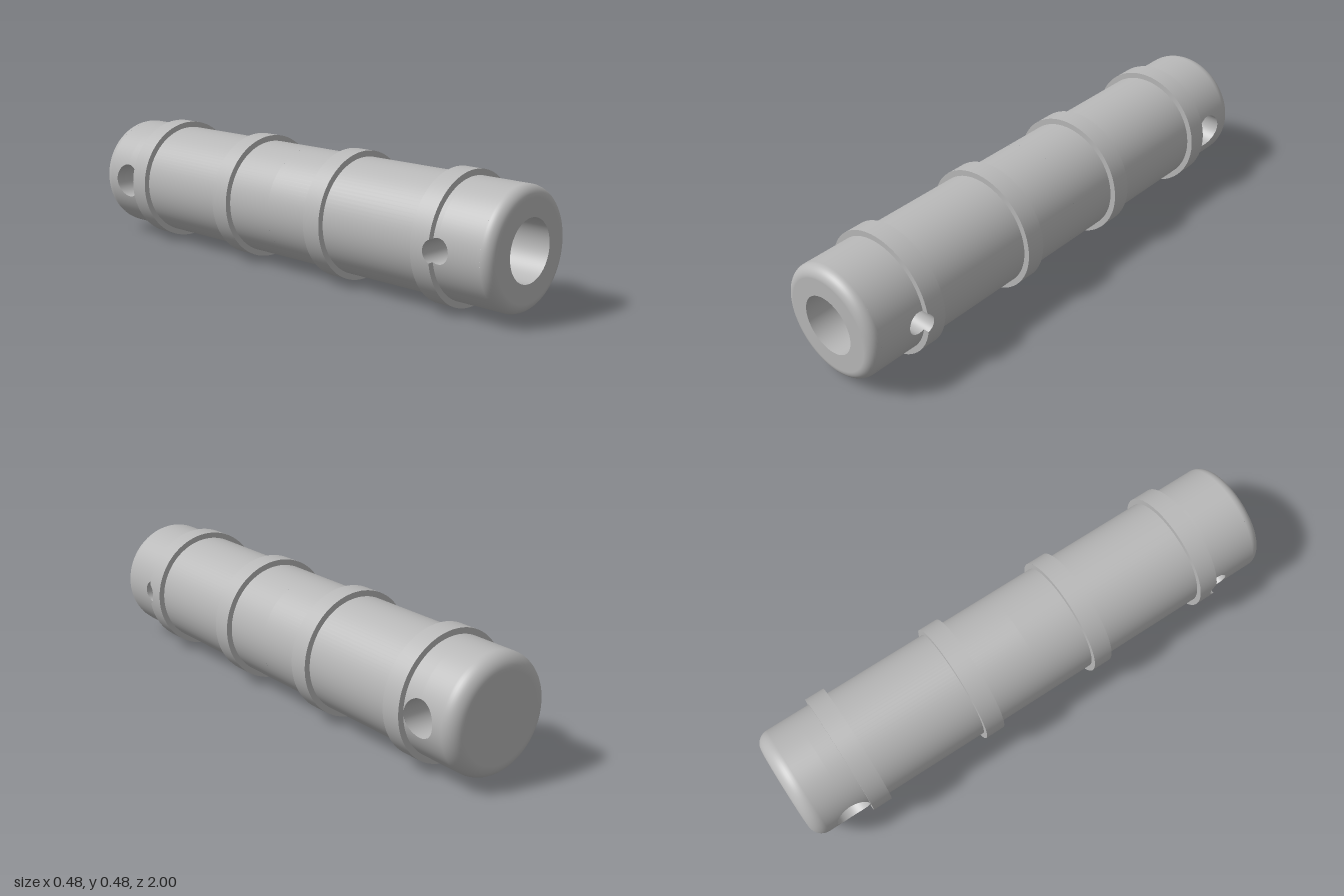
import * as THREE from 'three';

const R = 0.216, RING = 0.238, BORE = 0.111, BORE_END = 0.6;
const RING_HALF = 0.038, RING_Z = [0.733, 0.242, -0.242, -0.733];
const FRONT = { z: 0.79, r: 0.044 };
const BACK = { z: -0.839, r: 0.067 };
const FRONT_FILLET = 0.04, BACK_FILLET = 0.055;

// Grid surface: fn(i, j) gives { p, n }; triangles are wound to agree with n
function grid(nu, nv, fn) {
  const pos = [], nor = [], index = [], P = [], N = [];
  for (let i = 0; i <= nu; i++) for (let j = 0; j <= nv; j++) {
    const { p, n } = fn(i, j);
    P.push(new THREE.Vector3(...p));
    N.push(new THREE.Vector3(...n).normalize());
    pos.push(...p);
    nor.push(...N[N.length - 1].toArray());
  }
  const e1 = new THREE.Vector3(), e2 = new THREE.Vector3();
  const tri = (a, b, c) => {
    const d = e1.subVectors(P[b], P[a]).cross(e2.subVectors(P[c], P[a])).dot(N[a]);
    if (Math.abs(d) < 1e-12) return;
    if (d > 0) index.push(a, b, c); else index.push(a, c, b);
  };
  for (let i = 0; i < nu; i++) for (let j = 0; j < nv; j++) {
    const a = i * (nv + 1) + j, b = a + nv + 1;
    tri(a, b, b + 1);
    tri(a, b + 1, a + 1);
  }
  const g = new THREE.BufferGeometry();
  g.setAttribute('position', new THREE.Float32BufferAttribute(pos, 3));
  g.setAttribute('normal', new THREE.Float32BufferAttribute(nor, 3));
  g.setIndex(index);
  return g;
}

// Angles round a tube, dense where a cross hole cuts it on both sides
function angles(radius, hole) {
  const list = [], a = Math.asin(hole.r / radius);
  for (const side of [0, Math.PI]) {
    for (let k = -16; k <= 16; k++)
      list.push(side + Math.asin(hole.r * Math.sin(k * Math.PI / 32) / radius));
    for (let k = 1; k < 40; k++) list.push(side + a + (Math.PI - 2 * a) * k / 40);
  }
  list.push(list[0] + Math.PI * 2);
  return list;
}

// Half length of a cross hole, along z, at height y
const halfHole = (hole, y) => Math.sqrt(Math.max(0, hole.r ** 2 - y ** 2));

// Tube wall between two z functions of height y
function wall(radius, hole, zA, zB, dir = 1) {
  const th = angles(radius, hole);
  return grid(th.length - 1, 1, (i, j) => {
    const c = Math.cos(th[i]), s = Math.sin(th[i]), y = radius * s;
    return { p: [radius * c, y, (j ? zB : zA)(y)], n: [dir * c, dir * s, 0] };
  });
}

// Inside of a cross hole running along x
function holeWall(hole, side, inner, outer, a0 = 0, a1 = Math.PI * 2) {
  const x = (rad, y) => (rad ? Math.sqrt(rad * rad - y * y) : 0);
  return grid(48, 1, (i, j) => {
    const a = a0 + (a1 - a0) * i / 48, c = Math.cos(a), s = Math.sin(a), y = hole.r * s;
    return { p: [side * x(j ? outer : inner, y), y, hole.z + hole.r * c], n: [0, -s, -c] };
  });
}

// Rounded end: fillet of revolution, from the wall to the end face
function fillet(f, sign) {
  return grid(96, 10, (i, j) => {
    const t = i / 96 * Math.PI * 2, a = j / 10 * Math.PI / 2;
    const rad = R - f + f * Math.cos(a), z = sign * (1 - f + f * Math.sin(a));
    return {
      p: [rad * Math.cos(t), rad * Math.sin(t), z],
      n: [Math.cos(a) * Math.cos(t), Math.cos(a) * Math.sin(t), sign * Math.sin(a)],
    };
  });
}

export function createModel() {
  const model = new THREE.Group();
  model.name = 'pin';
  const steel = new THREE.MeshStandardMaterial({ color: 0xb8b8b8 });
  steel.name = 'grey steel';
  const pin = new THREE.Group();
  pin.name = 'ringedPin';
  pin.position.y = RING;
  model.add(pin);
  const add = (name, geometry, z = 0, turned = false) => {
    const m = new THREE.Mesh(geometry, steel);
    m.name = name;
    m.position.z = z;
    if (turned) m.rotation.y = Math.PI;
    pin.add(m);
  };

  // Shaft wall, pierced near both ends
  const below = h => y => h.z - halfHole(h, y);
  const above = h => y => h.z + halfHole(h, y);
  const at = z => () => z;
  add('shaftFront', wall(R, FRONT, at(0), below(FRONT)));
  add('shaftFrontEnd', wall(R, FRONT, above(FRONT), at(1 - FRONT_FILLET)));
  add('shaftBack', wall(R, BACK, above(BACK), at(0)));
  add('shaftBackEnd', wall(R, BACK, at(-1 + BACK_FILLET), below(BACK)));

  // Rounded ends and flat end faces
  add('frontRounding', fillet(FRONT_FILLET, 1));
  add('backRounding', fillet(BACK_FILLET, -1));
  add('frontFace', new THREE.RingGeometry(BORE, R - FRONT_FILLET, 96), 1);
  add('backFace', new THREE.CircleGeometry(R - BACK_FILLET, 96), -1, true);

  // Blind bore in the front end
  add('boreInner', wall(BORE, FRONT, at(BORE_END), below(FRONT), -1));
  add('boreOuter', wall(BORE, FRONT, above(FRONT), at(1), -1));
  add('boreBottom', new THREE.CircleGeometry(BORE, 96), BORE_END);

  // Collars; the front one is notched by the small cross hole
  const frontEdge = RING_Z[0] + RING_HALF;
  for (const z of RING_Z) {
    const notched = z === RING_Z[0];
    const edge = z + RING_HALF;
    const top = notched ? y => Math.min(edge, FRONT.z - halfHole(FRONT, y)) : at(edge);
    add('collar', wall(RING, FRONT, at(z - RING_HALF), top));
    add('collarBackFace', new THREE.RingGeometry(R, RING, 96), z - RING_HALF, true);
    if (!notched) add('collarFrontFace', new THREE.RingGeometry(R, RING, 96), edge);
  }
  const notch = halfHole(FRONT, FRONT.z - frontEdge);
  const aOut = Math.asin(notch / RING), aIn = Math.asin(notch / R);
  for (const turn of [0, Math.PI]) {
    const half = new THREE.Shape();
    half.absarc(0, 0, RING, turn + aOut, turn + Math.PI - aOut, false);
    half.absarc(0, 0, R, turn + Math.PI - aIn, turn + aIn, true);
    add('notchedCollarFace', new THREE.ShapeGeometry(half, 48), frontEdge);
  }

  // Cross hole walls on both sides
  const a0 = Math.acos((frontEdge - FRONT.z) / FRONT.r);
  for (const side of [1, -1]) {
    add('smallCrossHole', holeWall(FRONT, side, BORE, R));
    add('collarNotch', holeWall(FRONT, side, R, RING, a0, Math.PI * 2 - a0));
    add('largeCrossHole', holeWall(BACK, side, 0, R));
  }
  return model;
}
